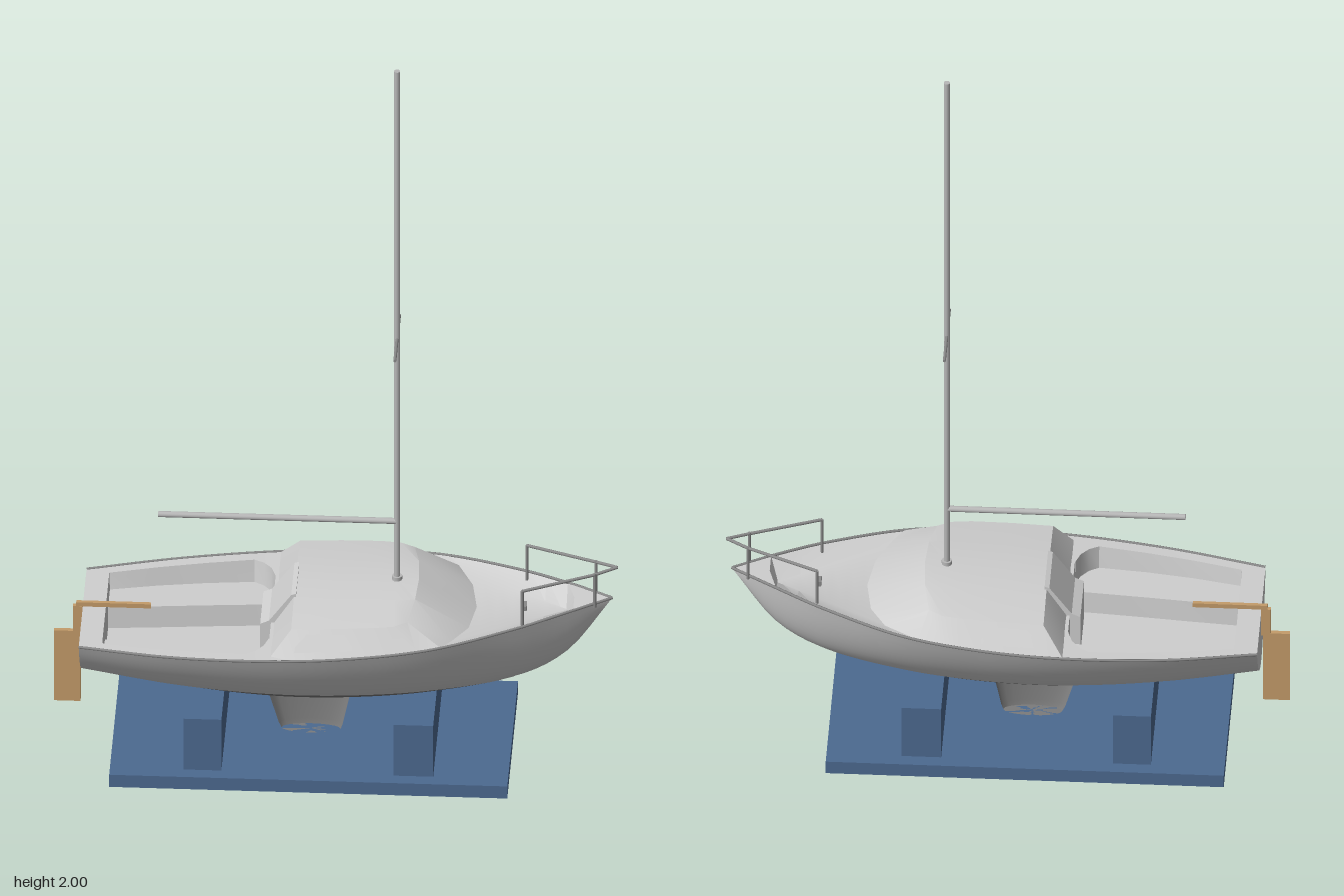
import * as THREE from 'three';
import { toCreasedNormals } from 'three/addons/utils/BufferGeometryUtils.js';

const mat = (name, color) => Object.assign(new THREE.MeshStandardMaterial({ color }), { name });

// Hull stations: x, half beam, sheer height, keel height
const STATIONS = [
  [-0.64, 0.182, 0.373, 0.22], [-0.4, 0.232, 0.382, 0.185], [-0.15, 0.257, 0.395, 0.162],
  [0.05, 0.253, 0.407, 0.163], [0.25, 0.222, 0.422, 0.182], [0.45, 0.14, 0.437, 0.22],
  [0.58, 0.068, 0.446, 0.295], [0.69, 0, 0.45, 0.449],
];

// Smooth interpolation of the stations at any x
function at(x) {
  const S = STATIONS, n = S.length - 1;
  let i = 0;
  while (i < n - 1 && x > S[i + 1][0]) i++;
  const w = S[i + 1][0] - S[i][0], t = (x - S[i][0]) / w;
  const slope = (k, c) => {
    const a = S[Math.max(0, k - 1)], b = S[Math.min(n, k + 1)];
    return (b[c] - a[c]) / (b[0] - a[0]);
  };
  const value = (c) => {
    const t2 = t * t, t3 = t2 * t;
    return (2 * t3 - 3 * t2 + 1) * S[i][c] + (t3 - 2 * t2 + t) * w * slope(i, c)
      + (3 * t2 - 2 * t3) * S[i + 1][c] + (t3 - t2) * w * slope(i + 1, c);
  };
  return { beam: value(1), sheer: value(2), keel: value(3) };
}

// Skin through cross-sections with equal point counts
function loft(sections, crease = 0.5) {
  const m = sections[0].length, index = [];
  for (let i = 0; i < sections.length - 1; i++) {
    for (let j = 0; j < m - 1; j++) {
      const a = i * m + j, b = a + m;
      index.push(a, b, a + 1, b, b + 1, a + 1);
    }
  }
  const g = new THREE.BufferGeometry();
  g.setAttribute('position', new THREE.Float32BufferAttribute(sections.flat(2), 3));
  g.setIndex(index);
  return toCreasedNormals(g, crease);
}

const range = (a, b, n) => Array.from({ length: n + 1 }, (_, i) => a + (b - a) * i / n);
// Complete a +z half section (ending on or near the centre line) with its mirror
const mirror = (half) => [...half, ...half.slice().reverse().map(([x, y, z]) => [x, y, -z])];

const WATERLINE = 0.22;
function hullPoint(x, u) {
  const { beam, sheer, keel } = at(x);
  return [x, keel + (sheer - keel) * u * u, beam * u * (1.08 - 0.08 * u * u)];
}
function waterU(x) {
  const { sheer, keel } = at(x);
  return Math.sqrt(Math.max(0, WATERLINE - keel) / Math.max(0.001, sheer - keel));
}

export function createModel() {
  const model = new THREE.Group();
  const white = mat('hull white', 0xcfcfcf);
  const bottom = mat('bottom grey', 0x7c7c7c);
  const metal = mat('spar silver', 0xb8b8b8);
  const steel = mat('rail steel', 0x8a8a8a);
  const wood = mat('varnished wood', 0xc49c6a);
  const blue = mat('stand blue', 0x4c6a90);

  const add = (name, geometry, material, x = 0, y = 0, z = 0) => {
    const mesh = new THREE.Mesh(geometry, material);
    mesh.name = name;
    mesh.position.set(x, y, z);
    model.add(mesh);
    return mesh;
  };
  const block = (name, material, x0, x1, y0, y1, depth, z = 0) =>
    add(name, new THREE.BoxGeometry(x1 - x0, y1 - y0, depth), material, (x0 + x1) / 2, (y0 + y1) / 2, z);
  const rod = (name, material, a, b, r) => {
    const A = new THREE.Vector3(...a), B = new THREE.Vector3(...b), d = B.clone().sub(A);
    const mesh = add(name, new THREE.CylinderGeometry(r, r, d.length(), 10), material);
    mesh.position.copy(A).add(B).multiplyScalar(0.5);
    mesh.quaternion.setFromUnitVectors(new THREE.Vector3(0, 1, 0), d.normalize());
  };

  // Hull: topsides, underwater body and transom
  const xs = range(-0.64, 0.69, 48);
  const signed = (x, u) => { const p = hullPoint(x, Math.abs(u)); return [p[0], p[1], u < 0 ? -p[2] : p[2]]; };
  add('rightTopside', loft(xs.map((x) => range(-1, -waterU(x), 10).map((u) => signed(x, u))), 0.9), white);
  add('leftTopside', loft(xs.map((x) => range(waterU(x), 1, 10).map((u) => signed(x, u))), 0.9), white);
  add('hullBottom', loft(xs.filter((x) => waterU(x) > 0)
    .map((x) => range(-waterU(x), waterU(x), 8).map((u) => signed(x, u))), 0.9), bottom);
  const transom = range(-1, 1, 20).map((u) => signed(-0.64, u));
  add('transom', loft([transom.map(() => [-0.64, 0.373, 0]), transom]), white);
  for (const side of [1, -1]) {
    const path = xs.map((x) => new THREE.Vector3(x, at(x).sheer, side * at(x).beam));
    add('rubRail', new THREE.TubeGeometry(new THREE.CatmullRomCurve3(path), 60, 0.004, 6), steel);
  }

  // Cockpit: coaming, seats and footwell; flat sections close its ends
  const cockpit = (x, coaming, well, deep) => {
    const { beam, sheer } = at(x), seat = deep ? 0.33 : sheer, sole = deep ? 0.27 : sheer;
    return mirror([[x, sheer, beam], [x, sheer, coaming], [x, seat, coaming - 0.008],
      [x, seat, well], [x, sole, well - 0.004]]);
  };
  add('cockpit', loft([
    cockpit(-0.64, 0.16, 0.07, false), cockpit(-0.582, 0.165, 0.075, false), cockpit(-0.58, 0.165, 0.075, true),
    cockpit(-0.46, 0.19, 0.085, true), cockpit(-0.34, 0.208, 0.096, true), cockpit(-0.22, 0.22, 0.106, true),
    cockpit(-0.195, 0.205, 0.108, true), cockpit(-0.175, 0.18, 0.109, true), cockpit(-0.165, 0.15, 0.11, true),
    cockpit(-0.163, 0.15, 0.11, false), cockpit(-0.15, 0.15, 0.11, false),
  ]), white);

  // Cabin trunk: sloped aft bulkhead, cambered roof and swept front
  const cabin = (x, width, shoulder, crown) => {
    const { beam, sheer } = at(x);
    return mirror([[x, sheer, beam - 0.003], [x, shoulder, width], [x, crown - 0.004, width * 0.5], [x, crown, 0]]);
  };
  add('cabin', loft([
    cabin(-0.155, 0.235, 0.396, 0.397), cabin(-0.105, 0.207, 0.46, 0.476),
    cabin(0, 0.207, 0.465, 0.481), cabin(0.1, 0.203, 0.469, 0.486), cabin(0.15, 0.196, 0.47, 0.488),
    mirror([[0.21, at(0.21).sheer, at(0.21).beam - 0.002], [0.185, 0.472, 0.175], [0.2, 0.486, 0.09], [0.205, 0.49, 0]]),
    mirror([[0.27, at(0.27).sheer, at(0.27).beam - 0.001], [0.295, 0.42, 0.178], [0.335, 0.412, 0.1], [0.35, 0.411, 0]]),
  ]), white);

  // Cabin side windows, as thin plates on the sloping sides
  for (const side of [1, -1]) {
    const column = (x, low, high) => {
      const { beam, sheer } = at(x);
      const pts = [low, high].map((f) =>
        [x, sheer + (0.466 - sheer) * f + 0.003, side * (beam + (0.207 - beam) * f + 0.004)]);
      return side > 0 ? pts : pts.reverse();
    };
    add('cabinWindow', loft([column(-0.095, 0.25, 0.4), column(-0.065, 0.25, 0.8),
      column(0.03, 0.25, 0.8), column(0.05, 0.25, 0.4)]), white);
  }

  // Companionway step and sliding hatch
  const hatch = new THREE.Shape([[-0.19, 0.275], [-0.1, 0.275], [-0.1, 0.482], [-0.112, 0.478], [-0.168, 0.4], [-0.19, 0.39]]
    .map((p) => new THREE.Vector2(...p)));
  add('companionway', new THREE.ExtrudeGeometry(hatch, { depth: 0.15, bevelEnabled: false }), white, 0, 0, -0.075);

  // Sunken foredeck with sloping bulwarks, then the solid bow cap
  const foredeck = (x, width, y = 0.411) => mirror([[x, at(x).sheer, at(x).beam], [x, y, width]]);
  add('foredeck', loft([
    ...range(0.24, 0.56, 8).map((x) => foredeck(x, 0.195 * (0.58 - x) / 0.34)),
    foredeck(0.575, 0.003), foredeck(0.595, 0.002, at(0.595).sheer),
    foredeck(0.64, 0.002, at(0.64).sheer), foredeck(0.69, 0, 0.45),
  ]), white);
  block('bowCleat', steel, 0.465, 0.476, 0.411, 0.424, 0.026);

  // Keel: tapered lens section
  const keelRing = (y, x0, x1, half) => range(0, Math.PI * 2, 20).map((a) =>
    [(x0 + x1) / 2 + Math.cos(a) * (x1 - x0) / 2, y, Math.sin(a) * half]);
  add('keel', loft([keelRing(0.036, -0.065, -0.064, 0.001), keelRing(0.036, -0.14, 0.008, 0.022),
    keelRing(0.05, -0.147, 0.013, 0.025), keelRing(0.19, -0.188, 0.042, 0.032)].reverse(), 0.7), bottom);

  // Mast, boom and spreaders
  rod('mast', metal, [0.15, 0.47, 0], [0.15, 2, 0], 0.008);
  add('mastFoot', new THREE.CylinderGeometry(0.013, 0.013, 0.012, 12), metal, 0.15, 0.492, 0);
  rod('boom', metal, [-0.45, 0.66, 0], [0.15, 0.66, 0], 0.008);
  rod('spreaders', steel, [0.15, 1.205, -0.107], [0.15, 1.205, 0.107], 0.004);

  // Bow pulpit
  for (const side of [1, -1]) {
    rod('pulpitAftPost', steel, [0.47, 0.425, side * 0.107], [0.47, 0.53, side * 0.107], 0.004);
    rod('pulpitForePost', steel, [0.648, 0.44, side * 0.03], [0.648, 0.54, side * 0.03], 0.004);
    rod('pulpitRail', steel, [0.47, 0.53, side * 0.107], [0.648, 0.536, side * 0.03], 0.004);
    rod('pulpitNose', steel, [0.648, 0.536, side * 0.03], [0.703, 0.541, 0], 0.004);
  }

  // Rudder and tiller
  block('rudderBlade', wood, -0.712, -0.645, 0.1, 0.308, 0.012);
  block('rudderHead', wood, -0.664, -0.64, 0.3, 0.382, 0.012);
  block('tiller', wood, -0.656, -0.468, 0.381, 0.393, 0.01);

  // Display stand
  block('standBase', blue, -0.56, 0.44, 0, 0.036, 0.49);
  for (const [x0, x1] of [[-0.375, -0.28], [0.152, 0.252]]) block('standSupport', blue, x0, x1, 0.036, 0.187, 0.42);

  return model;
}
